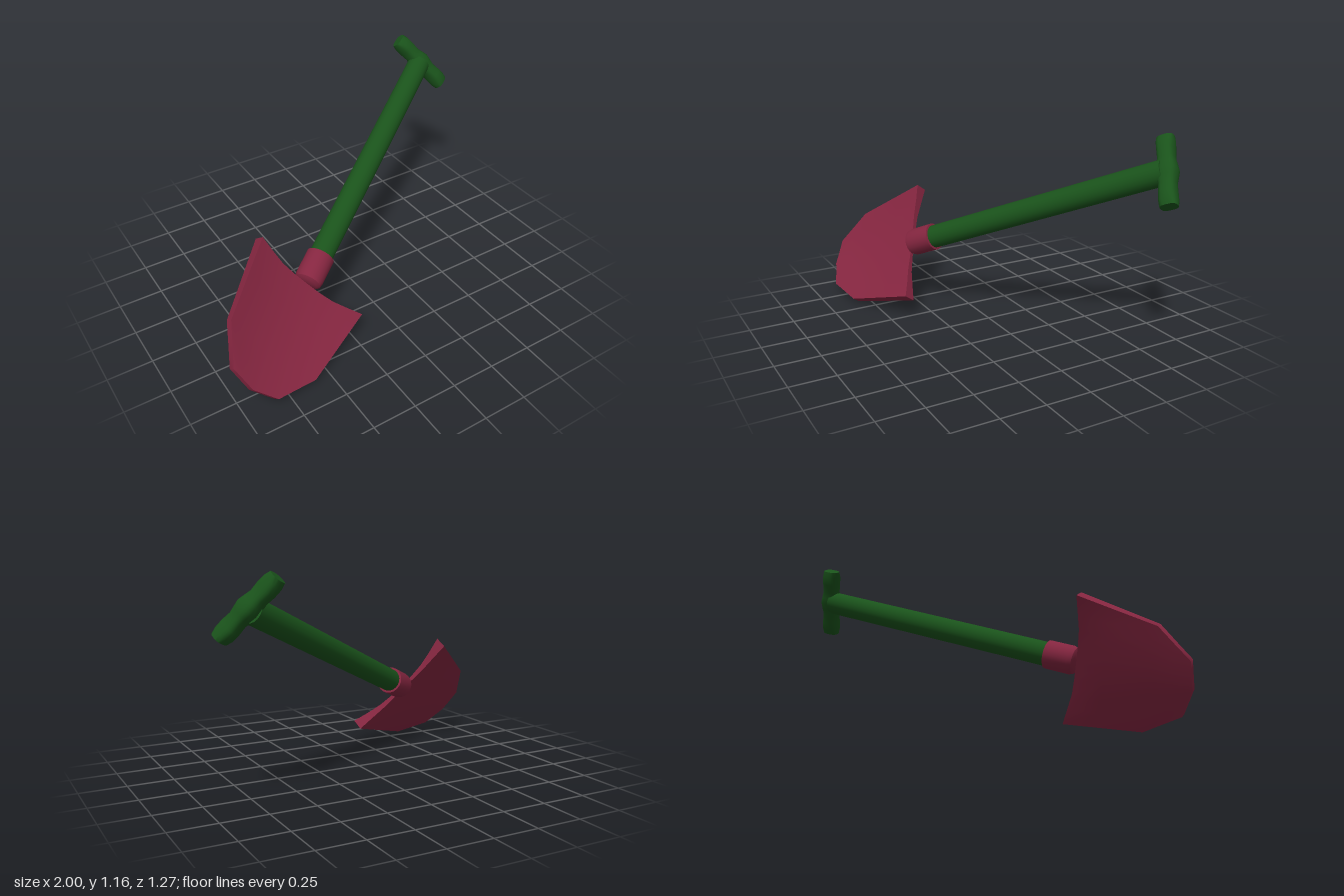
import * as THREE from 'three';
import { toCreasedNormals } from 'three/addons/utils/BufferGeometryUtils.js';

const red = new THREE.MeshStandardMaterial({ color: 0x852640 });
const green = new THREE.MeshStandardMaterial({ color: 0x1a531b });

// Closed solid through a row of equal-length rings; end caps are strips across the ring.
function loft(rings, crease) {
  const n = rings[0].length, pos = [];
  const quad = (a, b, c, d) => pos.push(...a, ...b, ...c, ...a, ...c, ...d);
  for (let r = 0; r < rings.length - 1; r++) {
    for (let i = 0; i < n; i++) {
      const j = (i + 1) % n;
      quad(rings[r][i], rings[r + 1][i], rings[r + 1][j], rings[r][j]);
    }
  }
  const first = rings[0], last = rings[rings.length - 1];
  for (let i = 0; i < n / 2 - 1; i++) {
    quad(first[i], first[i + 1], first[n - 2 - i], first[n - 1 - i]);
    quad(last[n - 1 - i], last[n - 2 - i], last[i + 1], last[i]);
  }
  const geo = new THREE.BufferGeometry();
  geo.setAttribute('position', new THREE.Float32BufferAttribute(pos, 3));
  return toCreasedNormals(geo, crease);
}

// Scooped blade: [height, half width, front edge, front middle, back edge, back middle, dip in middle]
function bladeGeometry() {
  const rows = [
    [-0.138, 0.365, 0.042, 0.0, -0.028, -0.02, 0.036],
    [-0.32, 0.334, 0.034, -0.012, -0.026, -0.04, 0.01],
    [-0.58, 0.29, 0.023, -0.01, -0.022, -0.04, 0],
    [-0.68, 0.215, 0.017, -0.002, -0.025, -0.038, 0.015],
    [-0.768, 0.15, 0.012, 0.008, -0.028, -0.032, 0.032],
  ];
  const steps = 8;
  return loft(rows.map(([y, half, fEdge, fMid, bEdge, bMid, dip]) => {
    const front = [], back = [];
    for (let i = 0; i <= steps; i++) {
      const u = (i / steps) * 2 - 1;
      const yy = y - dip * Math.min(1, (1 - Math.abs(u)) * (y > -0.5 ? 1.8 : 1));
      front.push([u * half, yy, fMid + (fEdge - fMid) * u * u]);
      back.unshift([u * half, yy, bMid + (bEdge - bMid) * u * u]);
    }
    return [...front, ...back];
  }), 0.9);
}

// Cross grip with a hub and broad, squarish ends: [x, radius along shaft, radius in depth]
function gripGeometry() {
  const half = [
    [0.197, 0.045, 0.034], [0.165, 0.047, 0.046], [0.12, 0.044, 0.05],
    [0.07, 0.043, 0.044], [0.035, 0.05, 0.05],
  ];
  const mirrored = half.map(([x, a, b]) => [-x, a, b]).reverse();
  const sides = 20;
  const squarish = (v) => Math.sign(v) * Math.abs(v) ** 0.7;
  return loft([...half, [0, 0.056, 0.056], ...mirrored].map(([x, a, b]) =>
    Array.from({ length: sides }, (_, i) => {
      const t = (i / sides) * Math.PI * 2;
      return [x, a * squarish(Math.cos(t)), b * squarish(Math.sin(t))];
    })), 0.8);
}

// Socket sleeve with a rounded lower end
function socketGeometry() {
  const profile = [[0, -0.175], [0.055, -0.172], [0.072, -0.162], [0.078, -0.14], [0.078, 0], [0.06, 0.002]];
  return toCreasedNormals(new THREE.LatheGeometry(profile.map(([r, y]) => new THREE.Vector2(r, y)), 20), 0.7);
}

export function createModel() {
  const model = new THREE.Group();
  model.name = 'shovel';
  // Tool axes: x across the blade, y along the shaft, z out of the scoop
  const tool = new THREE.Group();
  tool.name = 'tiltedTool';
  const along = new THREE.Vector3(0.788, 0.374, -0.488).normalize();
  const out = new THREE.Vector3(0.579, -0.718, 0.386).cross(along).normalize();
  const across = new THREE.Vector3().crossVectors(along, out);
  tool.quaternion.setFromRotationMatrix(new THREE.Matrix4().makeBasis(across, along, out));
  tool.position.set(-0.31, 0.442, 0.19);
  model.add(tool);

  const add = (name, geo, mat, y = 0) => {
    const mesh = new THREE.Mesh(geo, mat);
    mesh.name = name;
    mesh.position.y = y;
    tool.add(mesh);
  };

  add('blade', bladeGeometry(), red);
  add('socket', socketGeometry(), red);
  add('shaft', new THREE.CylinderGeometry(0.066, 0.066, 1.5, 20), green, 0.7);
  add('grip', gripGeometry(), green, 1.465);
  return model;
}
